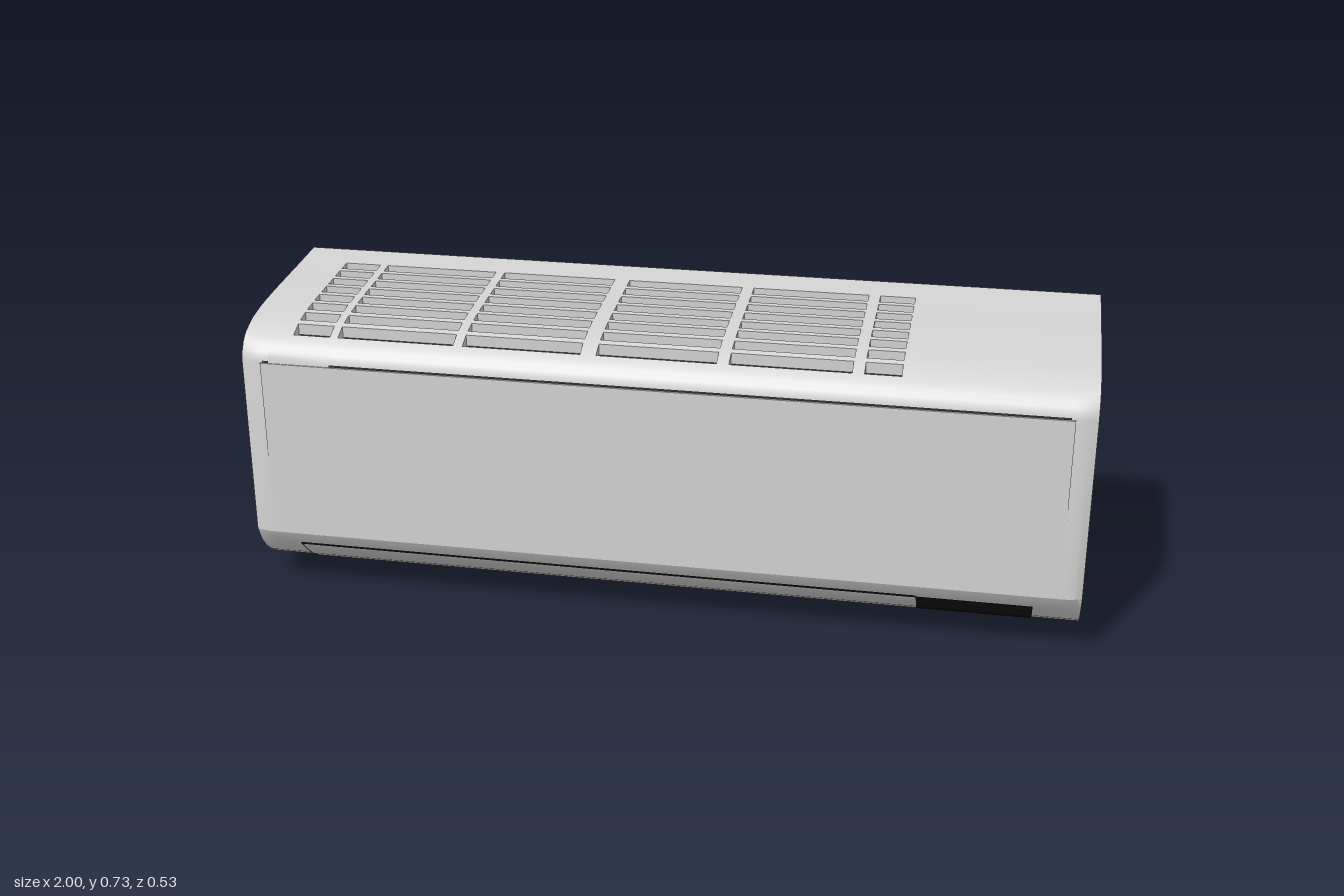
import * as THREE from 'three';
import { toCreasedNormals } from 'three/addons/utils/BufferGeometryUtils.js';

const mat = (name, color, side = THREE.FrontSide) => {
  const m = new THREE.MeshStandardMaterial({ color, side });
  m.name = name;
  return m;
};

// Side profile as [z, y]: top, front nose, then underside
const TOP = [[-0.262, 0.729], [-0.13, 0.719], [0, 0.71], [0.1, 0.701], [0.165, 0.689], [0.2, 0.677], [0.2135, 0.669]];
const NOSE = [[0.2135, 0.669], [0.226, 0.661], [0.24, 0.65], [0.25, 0.637], [0.256, 0.627], [0.259, 0.612]];
const UNDER = [[0.261, 0.167], [0.24, 0.13], [0.21, 0.1], [0.18, 0.075], [0.14, 0.05], [0.085, 0.028],
  [0.02, 0.0155], [-0.04, 0.005], [-0.12, 0.002], [-0.262, 0.001]];
const FRONT = [...NOSE, ...UNDER];

function interp(points, v, from, to) {
  for (let i = 0; i < points.length - 1; i++) {
    const a = points[i], b = points[i + 1];
    const t = (v - a[from]) / (b[from] - a[from]);
    if (t >= -1e-6 && t <= 1 + 1e-6) return a[to] + t * (b[to] - a[to]);
  }
  return points[points.length - 1][to];
}
const topY = z => interp(TOP, z, 0, 1);
const frontZ = y => interp(FRONT, y, 1, 0);

// The nose is slightly pulled in towards both ends
function pulled(x, z) {
  const end = Math.max(0, (Math.abs(x) - 0.95) / 0.05);
  return z - 0.01 * end * end * Math.min(1, Math.max(0, (z - 0.2135) / 0.04));
}

// Grille slot layout
const COLS = [[-0.88, -0.79], [-0.77, -0.488], [-0.465, -0.183], [-0.145, 0.137], [0.166, 0.448], [0.476, 0.56]];
const ROWS = Array.from({ length: 8 }, (_, i) => [-0.173 + i * 0.05, -0.138 + i * 0.05]);
const FLOOR = 0.657;

function geometryOf(positions) {
  const g = new THREE.BufferGeometry();
  g.setAttribute('position', new THREE.Float32BufferAttribute(positions, 3));
  return g;
}
const quad = (out, a, b, c, d) => [a, b, c, a, c, d].forEach(p => out.push(...p));

function casingGeometry() {
  const out = [];
  const xs = [-1, -0.99, -0.98, -0.965, -0.95, ...COLS.flat(), 0.95, 0.965, 0.98, 0.99, 1];
  const zs = [-0.262, ...ROWS.flat(), 0.2135];
  const inSlot = (ranges, a, b) => ranges.some(r => a > r[0] - 1e-6 && b < r[1] + 1e-6);
  for (let i = 0; i < xs.length - 1; i++) {
    const [x0, x1] = [xs[i], xs[i + 1]];
    // Top skin, with walls down into each slot
    for (let j = 0; j < zs.length - 1; j++) {
      const [z0, z1] = [zs[j], zs[j + 1]];
      if (z1 - z0 < 1e-6) continue;
      const a = [x0, topY(z0), z0], b = [x1, topY(z0), z0];
      const c = [x1, topY(z1), z1], d = [x0, topY(z1), z1];
      if (inSlot(COLS, x0, x1) && inSlot(ROWS, z0, z1)) {
        const ring = [a, b, c, d];
        ring.forEach((p, k) => {
          const q = ring[(k + 1) % 4];
          quad(out, q, p, [p[0], FLOOR, p[2]], [q[0], FLOOR, q[2]]);
        });
      } else quad(out, a, d, c, b);
    }
    // Nose, front and underside
    for (let j = 0; j < FRONT.length - 1; j++) {
      const p = FRONT[j], q = FRONT[j + 1];
      const at = (x, k) => [x, k[1], pulled(x, k[0])];
      quad(out, at(x0, p), at(x0, q), at(x1, q), at(x1, p));
    }
  }
  return toCreasedNormals(geometryOf(out), 0.45);
}

// Thin plate that follows the front profile between two heights
function plate(x0, x1, y0, y1, lift) {
  const ys = [y1, ...FRONT.map(p => p[1]).filter(y => y < y1 - 1e-4 && y > y0 + 1e-4), y0];
  const pts = ys.map(y => {
    const up = frontZ(y + 0.002), down = frontZ(y - 0.002);
    const n = new THREE.Vector2(0.004, down - up).normalize();
    return [frontZ(y) + n.x * lift, y + n.y * lift];
  });
  const out = [];
  for (let i = 0; i < pts.length - 1; i++) {
    const [p, q] = [pts[i], pts[i + 1]];
    quad(out, [x0, p[1], p[0]], [x0, q[1], q[0]], [x1, q[1], q[0]], [x1, p[1], p[0]]);
  }
  return toCreasedNormals(geometryOf(out), 0.45);
}

function endGeometry(side) {
  const shape = new THREE.Shape([...TOP, ...FRONT.slice(1)]
    .map(([z, y]) => new THREE.Vector2(-side * pulled(1, z), y)));
  return new THREE.ShapeGeometry(shape).rotateY(side * Math.PI / 2).translate(side, 0, 0);
}

export function createModel() {
  const model = new THREE.Group();
  model.name = 'wallAirConditioner';
  const shell = mat('shell grey', 0xd2d2d2);
  const flapMat = mat('flap grey', 0xcccccc, THREE.DoubleSide);
  const dark = mat('grille dark violet', 0x302a40);
  const black = mat('display black', 0x111111, THREE.DoubleSide);
  const add = (name, geometry, material, x = 0, y = 0, z = 0) => {
    const m = new THREE.Mesh(geometry, material);
    m.name = name;
    m.position.set(x, y, z);
    model.add(m);
  };

  add('casing', casingGeometry(), shell);
  add('leftEnd', endGeometry(1), shell);
  add('rightEnd', endGeometry(-1), shell);

  // Dark filter seen through the slots
  add('filter', new THREE.BoxGeometry(1.48, 0.004, 0.39), dark, -0.16, FLOOR - 0.001, 0.02);

  // Front cover with its finger tab and top seam
  add('frontPanel', new THREE.BoxGeometry(1.9, 0.442, 0.004), shell, 0, 0.391, 0.261);
  add('panelSeam', plate(-0.945, 0.94, 0.6125, 0.617, 0.0008), black);
  add('fingerTab', plate(-0.93, -0.78, 0.612, 0.64, 0.002), flapMat);

  // Air outlet: flap, surrounding gap and display
  add('outletGap', plate(-0.893, 0.62, 0.028, 0.136, 0.001), black);
  add('outletFlap', plate(-0.889, 0.62, 0.03, 0.131, 0.0025), flapMat);
  add('display', plate(0.62, 0.89, 0.03, 0.135, 0.003), black);

  // Back: wide mounting plate and narrow pipe channel cover
  add('backPlate', new THREE.BoxGeometry(1.898, 0.727, 0.004), shell, -0.051, 0.365, -0.261);
  add('pipeCover', new THREE.BoxGeometry(0.1, 0.727, 0.003), shell, 0.95, 0.365, -0.2602);
  return model;
}
